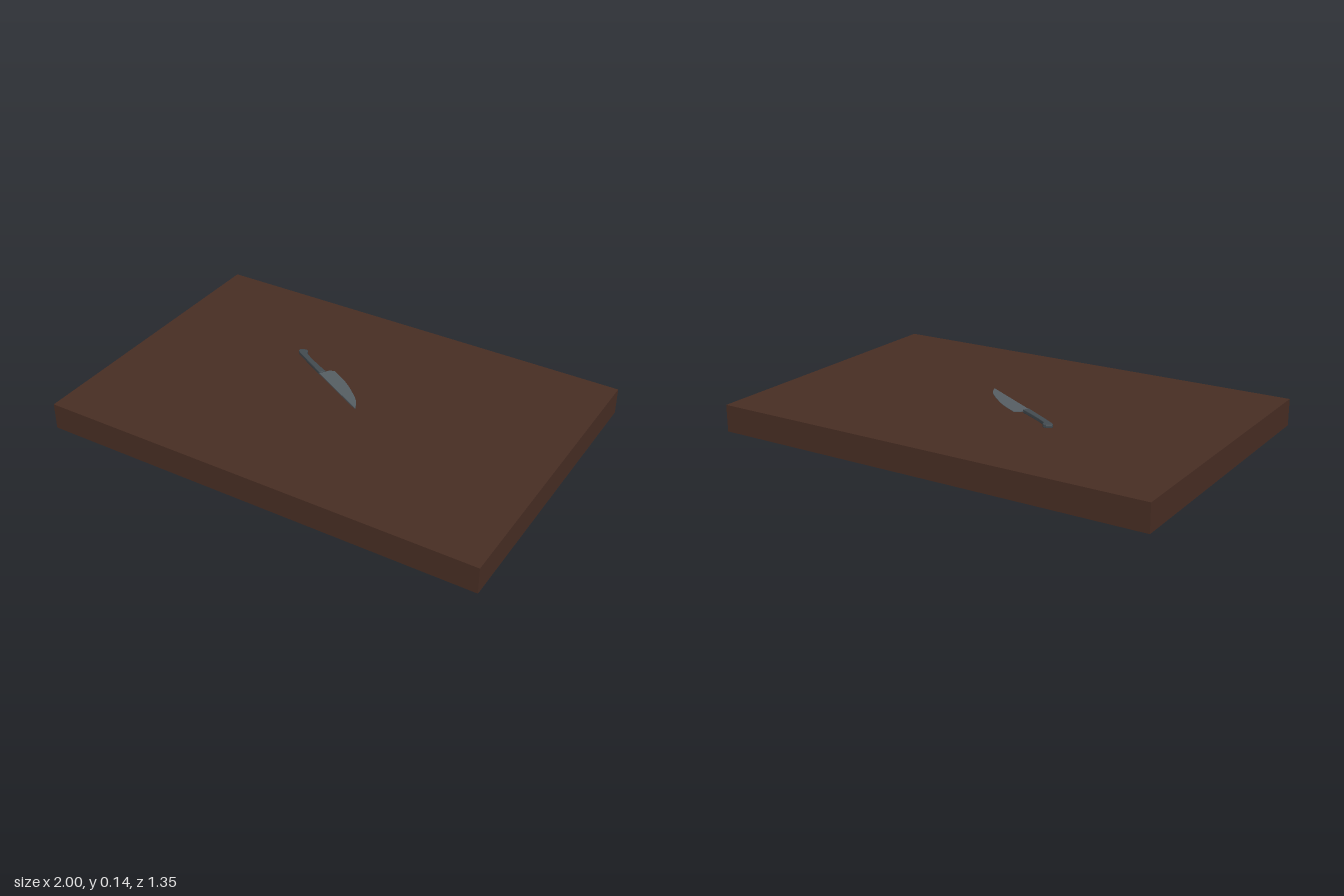
import * as THREE from 'three';

const wood = new THREE.MeshStandardMaterial({ name: 'darkWood', color: 0x472d23 });
const steel = new THREE.MeshStandardMaterial({ name: 'steel', color: 0x555d62 });
const grip = new THREE.MeshStandardMaterial({ name: 'darkGrip', color: 0x424a4f });

// Flat outline laid on its side, centred on its own thickness
function plate(shape, depth, bevel = 0) {
  const geo = new THREE.ExtrudeGeometry(shape, {
    depth: depth - 2 * bevel, curveSegments: 8, bevelEnabled: bevel > 0,
    bevelThickness: bevel, bevelSize: bevel, bevelOffset: -bevel, bevelSegments: 2,
  });
  return geo.translate(0, 0, bevel - depth / 2);
}

function add(parent, name, geo, material) {
  const mesh = new THREE.Mesh(geo, material);
  mesh.name = name;
  parent.add(mesh);
  return mesh;
}

export function createModel() {
  const model = new THREE.Group();
  model.name = 'boardWithKnife';

  // Thick slab
  add(model, 'board', new THREE.BoxGeometry(2, 0.12, 1.35), wood).position.y = 0.06;

  // Knife lying diagonally, tip raised slightly
  const knife = new THREE.Group();
  knife.name = 'knife';
  knife.position.y = 0.1385;
  knife.rotation.set(0, -Math.PI / 6, 0.012);
  model.add(knife);

  // Blade: straight spine, curved cutting edge
  const outline = new THREE.Shape();
  outline.moveTo(-0.185, 0.002);
  outline.lineTo(0.14, 0.003);
  outline.splineThru([[0.1, 0.03], [0.054, 0.047], [-0.032, 0.065], [-0.097, 0.071], [-0.164, 0.07]]
    .map(([x, y]) => new THREE.Vector2(x, y)));
  outline.lineTo(-0.177, 0.054);
  outline.lineTo(-0.178, 0.032);
  outline.lineTo(-0.185, 0.032);
  const bladeGeo = plate(outline, 0.006);
  // Thin the blade towards its cutting edge
  const p = bladeGeo.attributes.position;
  for (let i = 0; i < p.count; i++) {
    p.setZ(i, p.getZ(i) * (1 - 0.8 * Math.min(1, p.getY(i) / 0.072)));
  }
  bladeGeo.computeVertexNormals();
  add(knife, 'blade', bladeGeo.rotateX(-Math.PI / 2), steel);

  // Handle with a hooked butt
  const handle = new THREE.Shape([
    [-0.178, 0.003], [-0.176, 0.032], [-0.23, 0.029], [-0.3, 0.028], [-0.352, 0.031],
    [-0.361, 0.043], [-0.371, 0.045], [-0.382, 0.038], [-0.393, 0.018],
    [-0.387, 0.009], [-0.375, 0.006], [-0.29, 0.004],
  ].map(([x, y]) => new THREE.Vector2(x, y)));
  add(knife, 'handle', plate(handle, 0.016, 0.003).rotateX(-Math.PI / 2), grip);

  return model;
}
